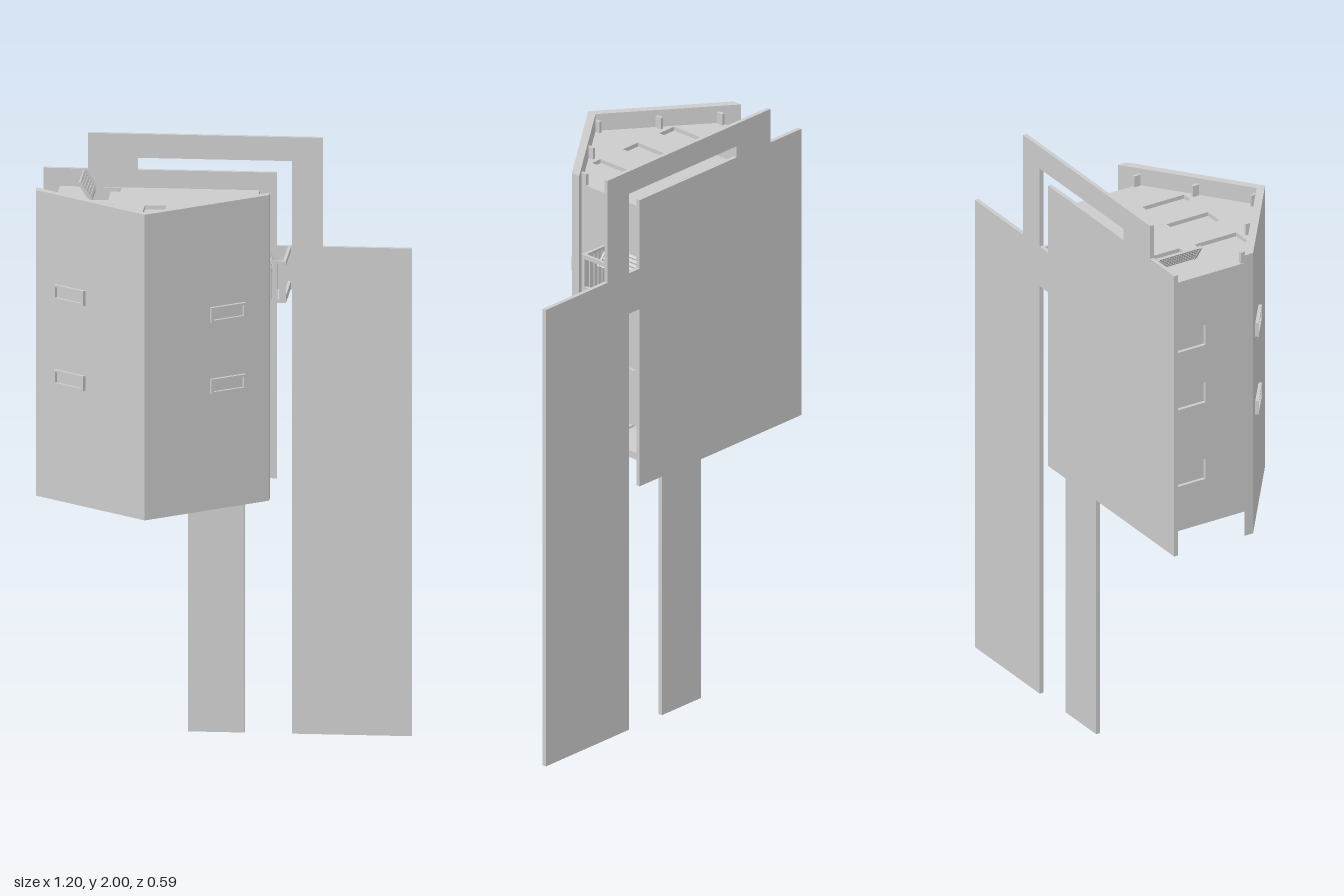
import * as THREE from 'three';

const mat = new THREE.MeshStandardMaterial({ color: 0xcccccc, flatShading: true, side: THREE.DoubleSide });

function add(parent, geo, name) {
  const m = new THREE.Mesh(geo, mat);
  m.name = name;
  parent.add(m);
  return m;
}

function box(parent, name, x0, x1, y0, y1, z0, z1) {
  const m = add(parent, new THREE.BoxGeometry(x1 - x0, y1 - y0, z1 - z0), name);
  m.position.set((x0 + x1) / 2, (y0 + y1) / 2, (z0 + z1) / 2);
  return m;
}

const corners = (a0, a1, b0, b1) => [[a0, b0], [a1, b0], [a1, b1], [a0, b1]].map(p => new THREE.Vector2(...p));

// Flat plate from an outline, with rectangular holes [a0, a1, b0, b1]
function plate(points, depth, holes = []) {
  const s = new THREE.Shape(points.map(p => new THREE.Vector2(p[0], p[1])));
  for (const h of holes) s.holes.push(new THREE.Path(corners(...h).reverse()));
  return new THREE.ExtrudeGeometry(s, { depth, bevelEnabled: false });
}

const rect = (a0, a1, b0, b1) => [[a0, b0], [a1, b0], [a1, b1], [a0, b1]];

// Plan outline (x, z), extruded downward from y
const slab = (points, y, t, holes) => plate(points, t, holes).rotateX(Math.PI / 2).translate(0, y, 0);

// Side outline (z, y), extruded from x towards -x
const sideWall = (points, x, t, holes) => plate(points, t, holes).rotateY(-Math.PI / 2).translate(x, 0, 0);

// Slatted shutter in its own plane: width along z, length along +x from the hinge
function shutter(parent, name, x, y, z0, z1, length, angle) {
  const g = new THREE.Group();
  g.name = name;
  const t = 0.006;
  for (const z of [z0, z1 - 0.008]) box(g, 'shutterRail', 0, length, -t, t, z, z + 0.008);
  const n = 6;
  for (let i = 0; i < n; i++) {
    const u = (i + 0.5) * length / n;
    box(g, 'shutterSlat', u - 0.0045, u + 0.0045, -t * 0.6, t * 0.6, z0, z1);
  }
  g.position.set(x, y, 0);
  g.rotation.z = angle;
  parent.add(g);
}

export function createModel() {
  const root = new THREE.Group();
  root.name = 'birdhouse';
  const zB = -0.285;

  // Back board with leg, tall side panel and top handle, cut in one piece
  const board = [
    [-0.60, 0.855], [-0.13, 0.855], [-0.13, 0], [0.055, 0], [0.055, 0.855], [0.16, 0.855],
    [0.16, 1.49], [0.21, 1.49], [0.21, 0], [0.60, 0], [0.60, 1.635], [0.31, 1.635],
    [0.31, 2], [-0.455, 2], [-0.455, 1.88], [-0.60, 1.88]];
  const s = new THREE.Shape(board.map(p => new THREE.Vector2(...p)));
  const slot = [[-0.295, 1.88], [-0.295, 1.92], [0.21, 1.92], [0.21, 1.635], [0.16, 1.635], [0.16, 1.88]];
  s.holes.push(new THREE.Path(slot.map(p => new THREE.Vector2(...p))));
  add(root, new THREE.ExtrudeGeometry(s, { depth: 0.014, bevelEnabled: false }).translate(0, 0, -0.299), 'backBoard');

  // V-shaped front
  const vee = [[-0.60, -0.028], [-0.22, 0.262], [0.16, -0.028], [0.16, 0.005], [-0.22, 0.295], [-0.60, 0.005]];
  add(root, slab(vee, 1.88, 1.025), 'frontFacade');

  // Ribs on the inside of the front, above and below the body
  for (const [x, z] of [[-0.54, 0.005], [-0.38, 0.128], [-0.22, 0.252], [-0.06, 0.128], [0.10, 0.005]]) {
    box(root, 'facadeRib', x - 0.005, x + 0.005, 0.91, 1.86, z - 0.012, z + 0.012);
  }

  // Framed windows on both slanted fronts
  const tilt = Math.atan2(0.29, 0.38);
  for (const [x, z, side, ys] of [[-0.478, 0.098, -1, [1.555, 1.27]], [0.03, 0.104, 1, [1.51, 1.27]]]) {
    for (const y of ys) {
      const g = new THREE.Group();
      g.name = 'frontWindow';
      add(g, plate(rect(-0.066, 0.066, -0.025, 0.025), 0.014, [[-0.058, 0.058, -0.018, 0.018]]), 'windowFrame');
      box(g, 'windowPane', -0.06, 0.06, -0.02, 0.02, 0, 0.004);
      g.position.set(x, y, z - 0.003);
      g.rotation.y = side * tilt;
      root.add(g);
    }
  }

  // Roof and floor with recessed openings
  const plan = [[-0.545, zB], [0.105, zB], [0.105, 0.013], [-0.22, 0.262], [-0.545, 0.013]];
  const lights = [[-0.42, -0.35, -0.06, 0.10], [-0.25, -0.18, -0.06, 0.10], [-0.075, -0.035, -0.06, 0.10]];
  const hatch = [-0.43, -0.345, -0.28, -0.115];
  add(root, slab(plan, 1.82, 0.014, [...lights, hatch]), 'roof');
  add(root, slab(plan, 0.924, 0.014, lights), 'floor');
  for (const [a, b, c, d] of lights) {
    box(root, 'roofPane', a - 0.01, b + 0.01, 1.798, 1.806, c - 0.01, d + 0.01);
    box(root, 'floorPane', a - 0.01, b + 0.01, 0.924, 0.93, c - 0.01, d + 0.01);
  }
  box(root, 'hatchStep', -0.38, -0.345, 1.79, 1.806, -0.28, -0.115);
  box(root, 'hatchFloor', -0.43, -0.345, 1.74, 1.75, -0.28, -0.115);
  shutter(root, 'roofShutter', -0.43, 1.82, -0.28, -0.11, 0.07, Math.PI - 0.98);

  // Side walls with windows
  const wall = rect(zB, 0.012, 0.912, 1.82);
  const leftHoles = [[-0.225, -0.105, 1.225, 1.29], [-0.275, -0.07, 0.935, 1.03],
    [-0.055, -0.005, 0.94, 1.03], [-0.23, -0.115, 1.53, 1.62]];
  add(root, sideWall(wall, 0.105, 0.012, leftHoles), 'leftWall');
  box(root, 'leftWindowPane', 0.086, 0.094, 1.215, 1.30, -0.235, -0.095);
  box(root, 'bayWindowPane', 0.086, 0.094, 1.52, 1.63, -0.24, -0.105);
  const rightHoles = [1.60, 1.39, 1.11].map(y => [-0.25, -0.145, y - 0.037, y + 0.037]);
  add(root, sideWall(wall, -0.535, 0.012, rightHoles), 'rightWall');
  for (const [a, b, c, d] of rightHoles) {
    box(root, 'rightWindowPane', -0.535, -0.527, c - 0.01, d + 0.01, a - 0.01, b + 0.01);
  }

  // Open side bay: slatted front, framed outer wall, shutter inside
  const bay = new THREE.Group();
  bay.name = 'sideBay';
  add(bay, sideWall(rect(zB, -0.085, 1.495, 1.635), 0.207, 0.01, [[-0.275, -0.097, 1.52, 1.62]]), 'bayFrame');
  for (let i = 0; i < 5; i++) {
    const x = 0.105 + i * 0.0195;
    box(bay, 'baySlat', x, x + 0.015, 1.495, 1.635, -0.095, -0.086);
  }
  for (const y of [1.495, 1.625]) box(bay, 'bayRail', 0.105, 0.2, y, y + 0.01, -0.097, -0.088);
  shutter(bay, 'bayShutter', 0.108, 1.642, -0.28, -0.11, 0.08, -0.87);
  root.add(bay);

  return root;
}
